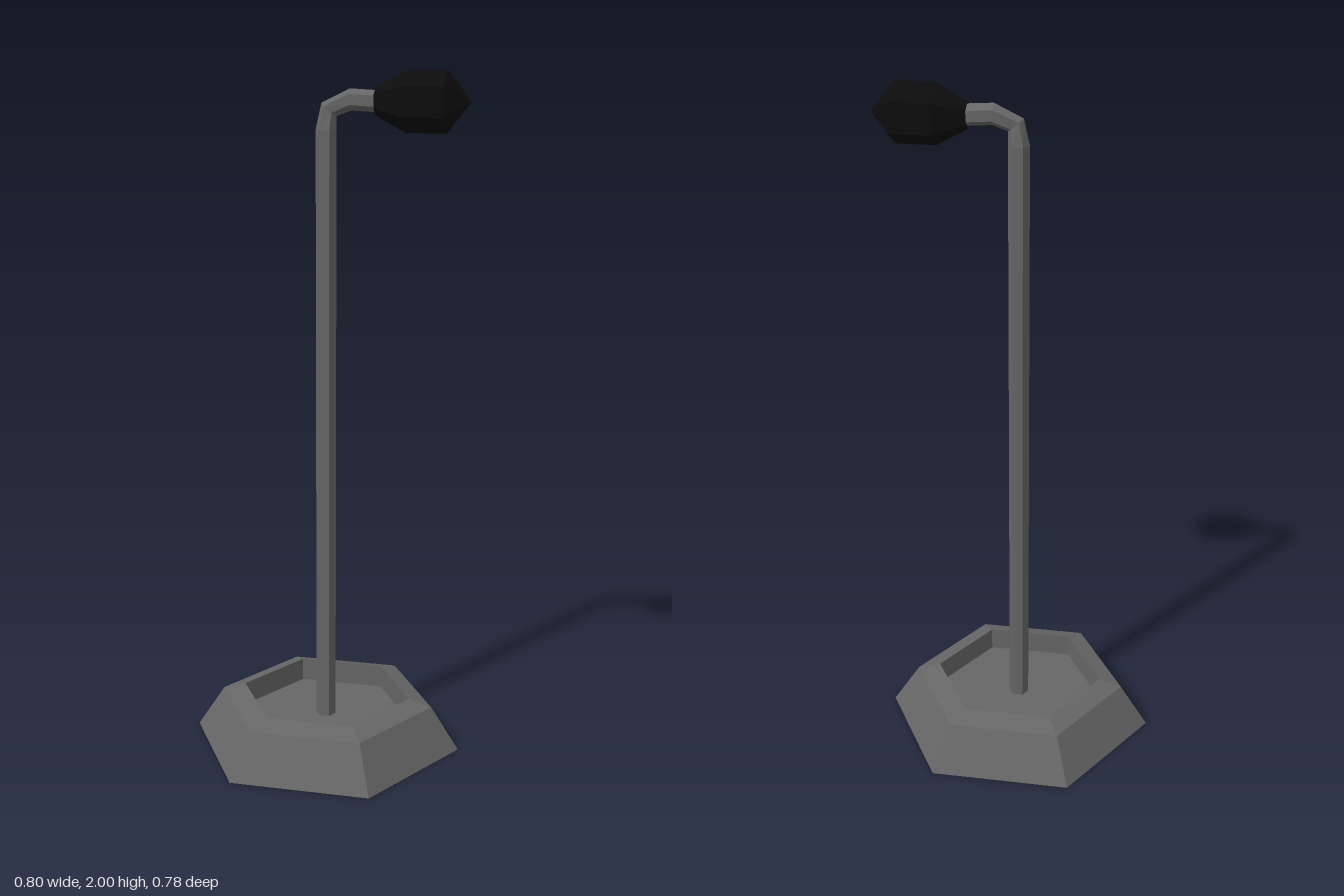
import * as THREE from 'three';

const SIDES = 6;

// Hexagonal loft in the x-y plane. Each ring is
// [x, y, tilt from upright in degrees, radius, sideways scale]
function loft(rings) {
  const loops = rings.map(([x, y, tilt, r, wide = 1]) => {
    const t = THREE.MathUtils.degToRad(tilt);
    return Array.from({ length: SIDES }, (_, k) => {
      const a = (k / SIDES) * Math.PI * 2;
      const u = r * Math.cos(a);
      return [x + u * Math.cos(t), y - u * Math.sin(t), r * wide * Math.sin(a)];
    });
  });
  const pos = [];
  for (let i = 0; i < loops.length - 1; i++) {
    for (let k = 0; k < SIDES; k++) {
      const n = (k + 1) % SIDES;
      const a = loops[i][k], b = loops[i][n], c = loops[i + 1][k], d = loops[i + 1][n];
      if (rings[i][3] > 0) pos.push(...a, ...c, ...b);
      if (rings[i + 1][3] > 0) pos.push(...b, ...c, ...d);
    }
  }
  const geo = new THREE.BufferGeometry();
  geo.setAttribute('position', new THREE.Float32BufferAttribute(pos, 3));
  geo.computeVertexNormals();
  return geo;
}

export function createModel() {
  const group = new THREE.Group();
  group.name = 'microphoneStand';

  const metal = new THREE.MeshStandardMaterial({ color: 0x666666, flatShading: true, side: THREE.DoubleSide });
  const foam = new THREE.MeshStandardMaterial({ color: 0x0c0c0c, flatShading: true, side: THREE.DoubleSide });

  const add = (name, rings, material) => {
    const mesh = new THREE.Mesh(loft(rings), material);
    mesh.name = name;
    group.add(mesh);
  };

  // Open-bottomed base: sloped wall, bevelled rim, sunken floor around the pole
  add('base', [
    [0, 0, 0, 0.41],
    [0, 0.13, 0, 0.326],
    [0, 0.15, 0, 0.257],
    [0, 0.08, 0, 0.257],
    [0, 0.08, 0, 0.03],
  ], metal);

  // Upright pole bending over into a short neck
  add('poleAndNeck', [
    [0, 0.08, 0, 0.03],
    [0, 1.84, 0, 0.03],
    [0.008, 1.895, 40, 0.028, 0.7],
    [0.07, 1.922, 85, 0.03],
    [0.15, 1.917, 92, 0.03],
  ], metal);

  // Foam head, widening from the neck and closing to a point
  add('foamHead', [
    [0.14, 1.917, 90, 0],
    [0.14, 1.917, 90, 0.038],
    [0.225, 1.917, 90, 0.085],
    [0.34, 1.917, 90, 0.085],
    [0.407, 1.917, 90, 0],
  ], foam);

  // The neck points diagonally to the front left
  group.rotation.y = THREE.MathUtils.degToRad(-47.4);
  const model = new THREE.Group();
  model.name = 'model';
  model.add(group);
  return model;
}
